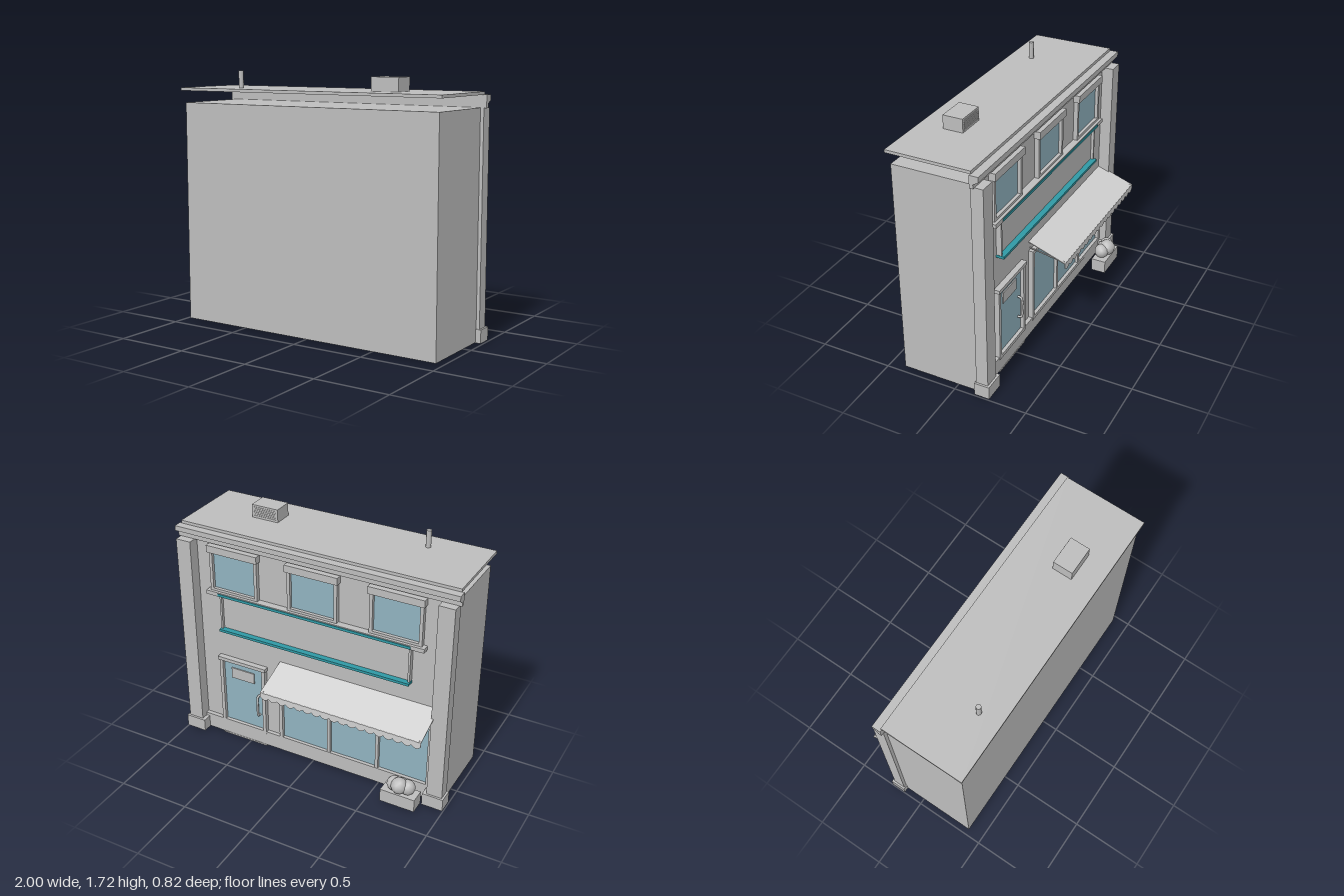
import * as THREE from 'three';

const mat = (name, color) => {
  const m = new THREE.MeshStandardMaterial({ color });
  m.name = name;
  return m;
};

export function createModel() {
  const root = new THREE.Group();
  root.name = 'shopBuilding';
  const wall = mat('plaster grey', 0xbcbcbc);
  const pale = mat('awning pale grey', 0xd0d0d0);
  const glass = mat('blue glass', 0x90b2bf);
  const teal = mat('teal trim', 0x2f98a4);

  const add = (name, geo, material, parent = root) => {
    const m = new THREE.Mesh(geo, material);
    m.name = name;
    parent.add(m);
    return m;
  };
  // Box given by its limits on each axis
  const box = (name, [x0, x1], [y0, y1], [z0, z1], material = wall, parent = root) => {
    const m = add(name, new THREE.BoxGeometry(x1 - x0, y1 - y0, z1 - z0), material, parent);
    m.position.set((x0 + x1) / 2, (y0 + y1) / 2, (z0 + z1) / 2);
    return m;
  };
  // Side profile of [z, y] points, swept along x
  const sweep = (name, points, x0, x1, material) => {
    const shape = new THREE.Shape(points.map(([z, y]) => new THREE.Vector2(-z, y)));
    const geo = new THREE.ExtrudeGeometry(shape, { depth: x1 - x0, bevelEnabled: false });
    geo.rotateY(Math.PI / 2).translate(x0, 0, 0);
    return add(name, geo, material);
  };
  // Rectangular frame with a rectangular hole, standing on the street wall
  const frame = (name, [x0, x1], [y0, y1], t, depth, parent) => {
    const rect = (P, a, b, c, d) =>
      new P([[a, c], [b, c], [b, d], [a, d]].map(([x, y]) => new THREE.Vector2(x, y)));
    const s = rect(THREE.Shape, x0, x1, y0, y1);
    s.holes.push(rect(THREE.Path, x0 + t, x1 - t, y0 + t, y1 - t));
    const m = add(name, new THREE.ExtrudeGeometry(s, { depth, bevelEnabled: false }), wall, parent);
    m.position.z = -0.15 - depth;
  };

  // Main block, floating roof slab and plinth
  box('body', [-0.96, 0.96], [0.01, 1.5], [-0.15, 0.39]);
  box('roof', [-0.985, 0.985], [1.58, 1.6], [-0.155, 0.41]);
  box('plinth', [-0.97, 0.97], [0.01, 0.12], [-0.178, -0.149]);
  box('doorstep', [0.37, 0.73], [0, 0.012], [-0.18, -0.15]);

  // Cornice
  sweep('cornice', [[-0.15, 1.497], [-0.175, 1.497], [-0.175, 1.525], [-0.21, 1.545],
    [-0.21, 1.58], [-0.15, 1.58]], -1, 1, wall);

  // Corner pilasters with bases
  for (const s of [-1, 1]) {
    const span = (a, b) => (s > 0 ? [a, b] : [-b, -a]);
    box('pilaster', span(0.875, 0.983), [0.01, 1.498], [-0.23, -0.148]);
    box('pilasterBase', span(0.85, 0.997), [0.008, 0.097], [-0.245, -0.14]);
  }

  // Roof fittings
  box('ventUnit', [0.41, 0.605], [1.6, 1.69], [0.11, 0.245]);
  for (let i = 0; i < 6; i++)
    box('ventSlat', [0.425, 0.59], [1.612 + i * 0.012, 1.617 + i * 0.012], [0.107, 0.111]);
  const pipe = add('roofPipe', new THREE.CylinderGeometry(0.017, 0.017, 0.115, 10), wall);
  pipe.position.set(-0.59, 1.6575, 0.257);

  // Upper windows
  for (const x of [-0.585, 0, 0.585]) {
    const g = new THREE.Group();
    g.name = 'upperWindow';
    root.add(g);
    g.position.x = x;
    box('windowGlass', [-0.165, 0.165], [1.16, 1.44], [-0.158, -0.149], glass, g);
    frame('windowFrame', [-0.18, 0.18], [1.15, 1.45], 0.022, 0.03, g);
    box('windowHood', [-0.19, 0.19], [1.435, 1.485], [-0.195, -0.149], wall, g);
  }
  box('windowLedge', [-0.79, 0.79], [1.127, 1.155], [-0.2, -0.149]);

  // Blank fascia board with teal rails
  box('fasciaBoard', [-0.69, 0.69], [0.87, 1.13], [-0.165, -0.149]);
  for (const s of [-1, 1])
    box('fasciaSideTrim', [s * 0.69 - 0.007, s * 0.69 + 0.007], [0.87, 1.13], [-0.185, -0.149]);
  for (const y of [0.87, 1.14])
    box('fasciaRail', [-0.7, 0.7], [y - 0.009, y + 0.009], [-0.205, -0.149], teal);

  // Door
  box('doorGlass', [0.385, 0.715], [0.12, 0.625], [-0.158, -0.149], glass);
  frame('doorFrame', [0.37, 0.73], [0.1, 0.64], 0.025, 0.032, root);
  box('doorHood', [0.362, 0.738], [0.62, 0.645], [-0.19, -0.149]);
  box('doorPlate', [0.465, 0.645], [0.485, 0.565], [-0.166, -0.157]);
  const bar = [[0.24, -0.157], [0.245, -0.182], [0.32, -0.187], [0.395, -0.182], [0.4, -0.157]];
  const barCurve = new THREE.CatmullRomCurve3(bar.map(([y, z]) => new THREE.Vector3(0.43, y, z)));
  add('doorHandle', new THREE.TubeGeometry(barCurve, 16, 0.008, 8), wall);

  // Shop window in three bays
  box('shopGlass', [-0.85, 0.245], [0.12, 0.63], [-0.158, -0.149], glass);
  frame('shopFrame', [-0.87, 0.26], [0.1, 0.65], 0.025, 0.032, root);
  for (const x of [-0.125, -0.485])
    box('mullion', [x - 0.011, x + 0.011], [0.12, 0.64], [-0.18, -0.149]);

  // Awning sheet
  sweep('awningSheet', [[-0.15, 0.722], [-0.15, 0.716], [-0.41, 0.622], [-0.41, 0.629]],
    -0.89, 0.262, pale);
  // Scalloped valance
  const n = 18, w = 1.152 / n;
  const valance = new THREE.Shape();
  valance.moveTo(0.262, 0.628);
  valance.lineTo(-0.89, 0.628);
  valance.lineTo(-0.89, 0.595);
  for (let i = 0; i < n; i++) {
    const x = -0.89 + i * w;
    valance.quadraticCurveTo(x + w / 2, 0.558, x + w, 0.595);
  }
  const valanceGeo = new THREE.ExtrudeGeometry(valance,
    { depth: 0.004, bevelEnabled: false, curveSegments: 6 });
  add('awningValance', valanceGeo, pale).position.z = -0.412;
  // Curved support arms
  for (const x of [-0.875, 0.245]) {
    const arm = new THREE.CatmullRomCurve3([[0.668, -0.15], [0.655, -0.23], [0.64, -0.31], [0.63, -0.405]]
      .map(([y, z]) => new THREE.Vector3(x, y, z)));
    add('awningArm', new THREE.TubeGeometry(arm, 12, 0.005, 6), wall);
  }

  // Planter with a clipped shrub
  box('planter', [-0.84, -0.595], [0.012, 0.105], [-0.345, -0.24]);
  const leaves = [[-0.765, 0.145, -0.285, 0.053], [-0.715, 0.158, -0.31, 0.057],
    [-0.67, 0.145, -0.285, 0.052], [-0.72, 0.145, -0.28, 0.05]];
  for (const [x, y, z, r] of leaves)
    add('shrub', new THREE.IcosahedronGeometry(r, 1), wall).position.set(x, y, z);

  return root;
}
